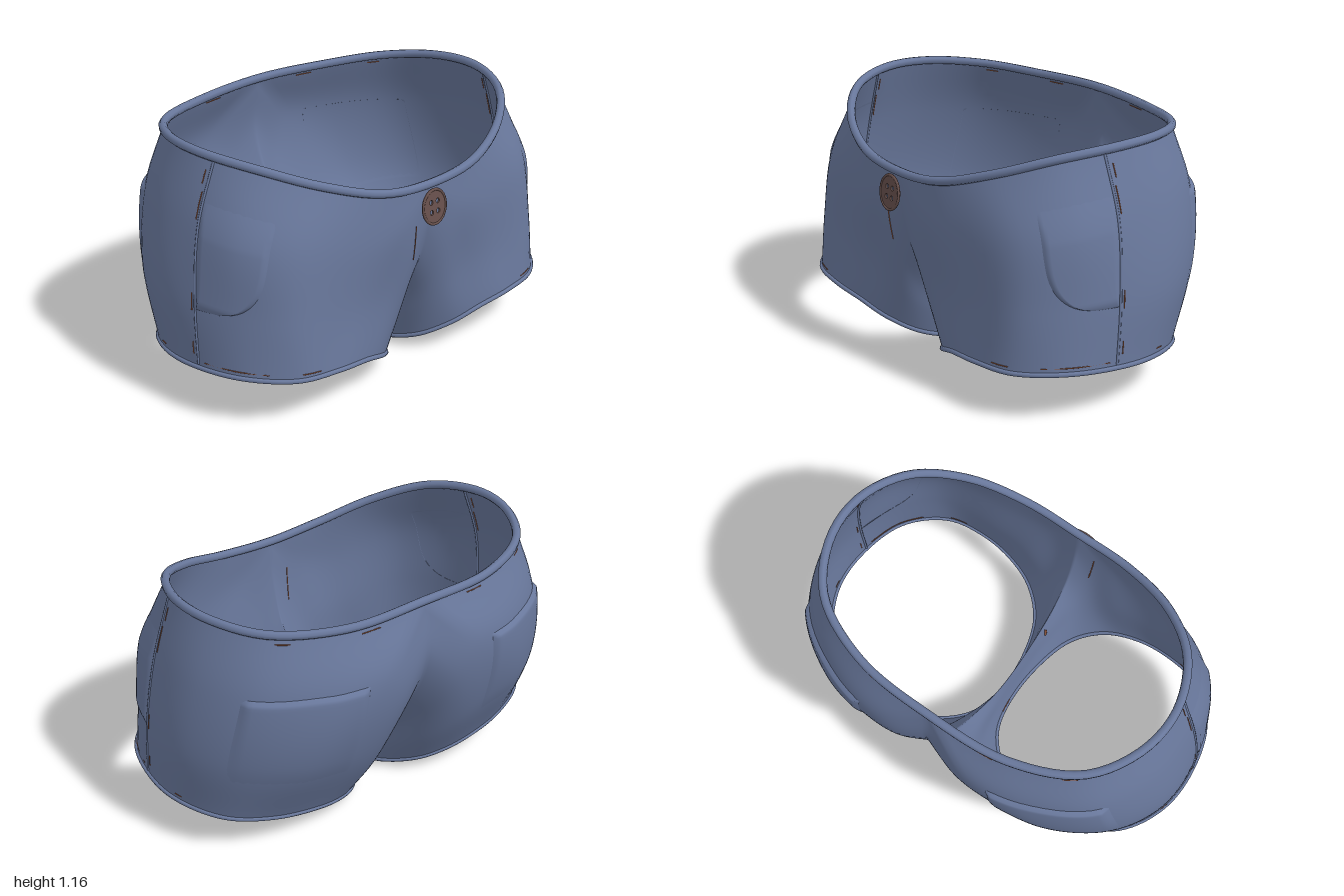
import * as THREE from 'three';
import { mergeVertices } from 'three/addons/utils/BufferGeometryUtils.js';

const V = (p) => new THREE.Vector3(p[0], p[1], p[2]);

// Control rings of one leg half (+x). Points 0-8 run front, outside, back; 9-15 return along the crotch.
const WAIST = [[0, .915, .585], [.28, .94, .57], [.54, 1.02, .48], [.74, 1.1, .31], [.84, 1.135, .07],
  [.82, 1.135, -.16], [.68, 1.115, -.38], [.38, 1.1, -.515], [0, 1.11, -.545]];
const SEAM = [[0, 1.11, -.545], [0, .85, -.575], [0, .6, -.48], [0, .36, -.27], [0, .22, 0],
  [0, .3, .31], [0, .47, .49], [0, .7, .565], [0, .915, .585]];
const HIP = [[.16, .72, .59], [.4, .72, .575], [.7, .78, .505], [.87, .82, .33], [.93, .85, .06], [.91, .85, -.18],
  [.77, .85, -.42], [.5, .85, -.575], [.25, .83, -.625], [.15, .66, -.595], [.09, .46, -.47], [.04, .28, -.25],
  [.012, .15, 0], [.014, .21, .28], [.045, .35, .47], [.08, .52, .555]];
const THIGH = [[.27, .43, .56], [.46, .44, .57], [.74, .48, .53], [.9, .5, .36], [.985, .52, .08], [.97, .52, -.15],
  [.84, .52, -.38], [.6, .5, -.53], [.38, .47, -.555], [.25, .37, -.51], [.15, .25, -.4], [.06, .15, -.22],
  [.022, .08, 0], [.024, .12, .25], [.075, .22, .45], [.15, .32, .535]];
const HEM = [[.37, .19, .575], [.55, .215, .59], [.75, .225, .55], [.92, .235, .38], [.988, .225, .1], [.96, .215, -.1],
  [.85, .19, -.27], [.66, .155, -.355], [.46, .12, -.375], [.32, .09, -.355], [.2, .06, -.3], [.08, .028, -.17],
  [.035, .011, -.02], [.037, .022, .2], [.1, .07, .41], [.22, .135, .525]];

const waistCurve = new THREE.CatmullRomCurve3(WAIST.map(V));
const seamCurve = new THREE.CatmullRomCurve3(SEAM.map(V));
const loops = [HIP, THIGH, HEM].map((r) => new THREE.CatmullRomCurve3(r.map(V), true));

// Point on the cloth: u = 0..16 around the leg, v = 0 (waist and crotch seam) .. 3 (leg hem)
function cloth(u, v) {
  const w = ((u % 16) + 16) % 16;
  const top = w <= 8 ? waistCurve.getPoint(w / 8) : seamCurve.getPoint((w - 8) / 8);
  top.x = Math.max(0, top.x);
  const column = [top, ...loops.map((c) => c.getPoint(w / 16))];
  return new THREE.CatmullRomCurve3(column).getPoint(Math.min(1, Math.max(0, v / 3)));
}

// Point lifted off the cloth along its outward normal
function lifted(u, v, d) {
  const e = .05;
  const du = cloth(u + e, v).sub(cloth(u - e, v));
  const dv = cloth(u, v + e).sub(cloth(u, v - e));
  return cloth(u, v).addScaledVector(dv.cross(du).normalize(), d);
}

// Grid surface from a point rule, built on each listed side (1 = left, -1 = right)
function sheet(point, nu, nv, sides) {
  const pos = [], index = [];
  for (const s of sides) {
    const base = pos.length / 3;
    for (let j = 0; j <= nv; j++) {
      for (let i = 0; i <= nu; i++) {
        const p = point(i / nu, j / nv);
        pos.push(p.x * s, p.y, p.z);
      }
    }
    for (let j = 0; j < nv; j++) {
      for (let i = 0; i < nu; i++) {
        const a = base + j * (nu + 1) + i, b = a + 1, c = a + nu + 1, d = c + 1;
        if (s > 0) index.push(a, c, b, b, c, d);
        else index.push(a, b, c, b, d, c);
      }
    }
  }
  let g = new THREE.BufferGeometry();
  g.setAttribute('position', new THREE.Float32BufferAttribute(pos, 3));
  g.setIndex(index);
  g = mergeVertices(g, 1e-4);
  g.computeVertexNormals();
  return g;
}

export function createModel() {
  const group = new THREE.Group();
  group.name = 'shorts';
  const denim = new THREE.MeshStandardMaterial({ color: 0x69789c, side: THREE.DoubleSide });
  denim.name = 'denim blue';
  const thread = new THREE.MeshStandardMaterial({ color: 0x8a5238 });
  thread.name = 'thread brown';
  const horn = new THREE.MeshStandardMaterial({ color: 0x67504c });
  horn.name = 'button brown';

  const add = (name, geometry, material) => {
    const m = new THREE.Mesh(geometry, material);
    m.name = name;
    group.add(m);
  };
  const cord = (name, pts, r, material, closed = false) => add(name,
    new THREE.TubeGeometry(new THREE.CatmullRomCurve3(pts, closed), closed ? 96 : 28, r, 8, closed), material);
  const mirrored = (pts, s) => pts.map((p) => new THREE.Vector3(p.x * s, p.y, p.z));

  // Main cloth, both halves welded along the centre seam
  add('cloth', sheet((a, b) => cloth(a * 16, b * 3), 96, 30, [1, -1]), denim);

  // Rolled waistband
  const half = WAIST.map(V);
  const otherHalf = mirrored(half.slice(1, -1).reverse(), -1);
  cord('waistband', [...half, ...otherHalf], .02, denim, true);

  for (const s of [1, -1]) {
    const side = s > 0 ? 'left' : 'right';
    // Rolled leg hem
    cord(side + 'Hem', mirrored(HEM.map(V), s), .011, denim, true);

    // Raised side seam
    const seam = [];
    for (let i = 0; i <= 10; i++) seam.push(lifted(3.72, .05 + i * .29, -.001));
    cord(side + 'SideSeam', mirrored(seam, s), .006, denim);

    // Front pocket, raised with a rounded lower corner
    add(side + 'FrontPocket', sheet((a, b) => {
      const start = 3.7 - 1.25 * Math.sqrt(1 - b ** 4);
      const edge = Math.min(a * 14, (1 - a) * 14, b * 3, (1 - b) * 14, 1);
      return lifted(start + (3.7 - start) * a, .6 + b * 1.47, .012 * edge - .001);
    }, 28, 36, [s]), denim);

    // Back pocket, standing off at its top edge and fading into the cloth below
    add(side + 'BackPocket', sheet((a, b) => {
      const v = 1 + b * 1.3;
      const edge = Math.min(a * 14, (1 - a) * 20, b * 25, 1);
      return lifted(5.75 + a * (1.85 + b * .6), v, .02 * edge * (1 - b) - .001);
    }, 28, 28, [s]), denim);

    // Stitches at hem, waist and side seam, outside then inside: [u from, v from, u to, v to, lift]
    const stitches = [[1.5, 2.9, 1.9, 2.9, 0], [2.5, 2.9, 3.6, 2.9, 0], [4.7, 2.9, 4.9, 2.9, 0],
      [3.82, .2, 3.82, .4, 0], [3.78, .5, 3.78, .9, 0], [3.78, 1.85, 3.78, 2.1, 0], [3.8, 2.6, 3.8, 2.8, 0],
      [6.1, .14, 6.3, .14, -.001], [7.2, .14, 7.45, .14, -.001], [11.7, 2.85, 12.1, 2.85, -.001]];
    for (const [u0, v0, u1, v1, d] of stitches) {
      const pts = [0, .5, 1].map((t) => lifted(u0 + (u1 - u0) * t, v0 + (v1 - v0) * t, d));
      cord(side + 'Stitch', mirrored(pts, s), .0025, thread);
    }
  }

  // Fly and crotch stitching
  const fly = [[15.75, .7], [15.48, .83], [15.2, .95]].map(([u, v]) => lifted(u, v, 0));
  cord('flyStitch', mirrored(fly, -1), .0025, thread);
  const crotch = [.6, .8, 1].map((v) => lifted(13.2, v, 0));
  cord('crotchStitch', mirrored(crotch, -1), .007, thread);

  // Four-hole button with a raised rim
  const button = new THREE.Group();
  button.name = 'button';
  const disc = new THREE.Shape().absarc(0, 0, .072, 0, Math.PI * 2);
  for (const x of [-1, 1]) {
    for (const y of [-1, 1]) {
      disc.holes.push(new THREE.Path().absarc(x * .02, y * .02, .01, 0, Math.PI * 2, true));
    }
  }
  const face = new THREE.Mesh(new THREE.ExtrudeGeometry(disc, { depth: .009, bevelEnabled: false, curveSegments: 20 }), horn);
  face.name = 'buttonFace';
  const rim = new THREE.Mesh(new THREE.TorusGeometry(.069, .006, 8, 32), horn);
  rim.name = 'buttonRim';
  rim.position.z = .007;
  button.add(face, rim);
  button.scale.y = 1.12;
  button.position.set(-.02, .82, .615);
  button.rotation.x = -.12;
  group.add(button);

  return group;
}
